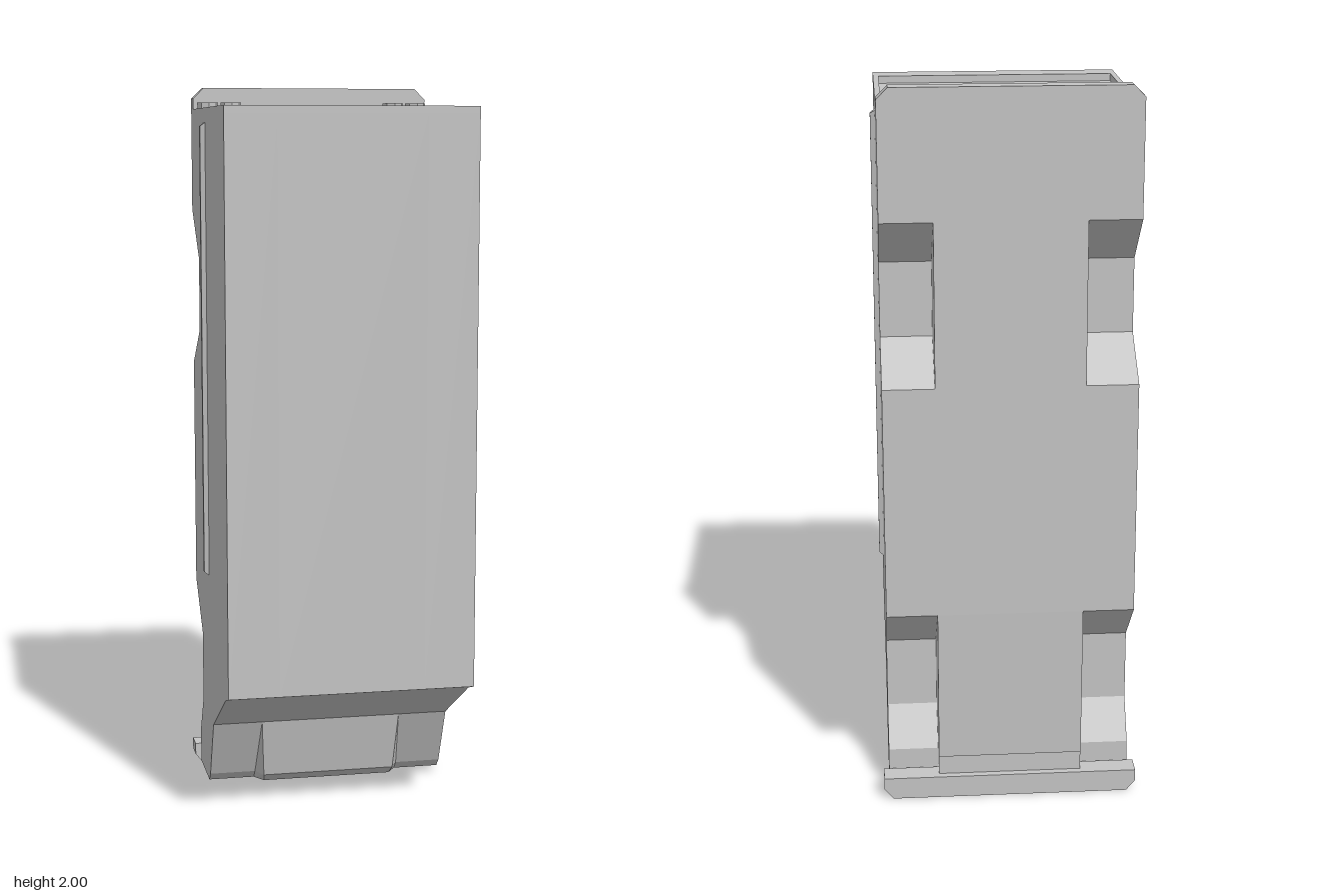
import * as THREE from 'three';
import { ConvexGeometry } from 'three/addons/geometries/ConvexGeometry.js';

const grey = new THREE.MeshStandardMaterial({ color: 0xc4c4c4 });
grey.name = 'plain grey';

export function createModel() {
  const root = new THREE.Group();
  root.name = 'ammoCanister';

  const add = (name, geometry, x = 0, y = 0, z = 0) => {
    const mesh = new THREE.Mesh(geometry, grey);
    mesh.name = name;
    mesh.position.set(x, y, z);
    root.add(mesh);
    return mesh;
  };
  const box = (name, x0, x1, y0, y1, z0, z1) =>
    add(name, new THREE.BoxGeometry(x1 - x0, y1 - y0, z1 - z0),
      (x0 + x1) / 2, (y0 + y1) / 2, (z0 + z1) / 2);
  const extrude = (points, depth, holes = []) => {
    const shape = new THREE.Shape(points.map(p => new THREE.Vector2(...p)));
    for (const h of holes) shape.holes.push(new THREE.Path(h.map(p => new THREE.Vector2(...p))));
    return new THREE.ExtrudeGeometry(shape, { depth, bevelEnabled: false });
  };
  // Side profile given as [z, y], swept from x0 to x1
  const slab = (name, profile, x0, x1) =>
    add(name, extrude(profile.map(([z, y]) => [-z, y]), x1 - x0).rotateY(Math.PI / 2), x0);

  // Body: solid spine between two notched sides
  const top = 1.92;
  const front = [[0.33, top], [0.33, 0.37], [0.275, 0.352], [0.026, 0.21],
    [-0.05, 0.04], [-0.074, 0.015], [-0.255, 0.015], [-0.255, 0.115]];
  slab('bodySpine', [...front, [-0.317, 0.12], [-0.33, 0.56], [-0.33, top]], -0.2, 0.2);
  const notched = [...front, [-0.19, 0.225], [-0.19, 0.425], [-0.33, 0.56],
    [-0.33, 1.21], [-0.19, 1.315], [-0.19, 1.52], [-0.33, 1.655], [-0.33, top]];
  slab('bodyLeft', notched, 0.2, 0.34);
  slab('bodyRight', notched, -0.34, -0.2);

  // Rim around the sunken top panel
  const rect = (x, y0, y1) => [[-x, y0], [x, y0], [x, y1], [-x, y1]];
  add('topRim', extrude(rect(0.34, -0.33, 0.33), 0.02, [rect(0.325, -0.255, 0.187)])
    .rotateX(-Math.PI / 2), 0, top);

  // Upright lip at the back of the top
  add('topLip', extrude([[-0.34, 1.94], [0.34, 1.94], [0.34, 1.97], [0.31, 2],
    [-0.31, 2], [-0.34, 1.97]], 0.047), 0, 0, -0.33);

  // Eight-sided studs
  for (const x of [-0.303, -0.237, 0.237, 0.303]) {
    add('stud', new THREE.CylinderGeometry(0.03, 0.03, 0.018, 8).toNonIndexed(), x, 1.949, -0.247)
      .geometry.computeVertexNormals();
  }

  // Tapered wedge on the front of the foot
  const wedge = [];
  for (const s of [-1, 1]) {
    for (const [x, y, z] of [[0.2, 0.21, 0.026], [0.19, 0.04, -0.01], [0.185, 0.015, -0.037],
      [0.21, 0.04, -0.05], [0.21, 0.015, -0.074]]) wedge.push(new THREE.Vector3(s * x, y, z));
  }
  add('footWedge', new ConvexGeometry(wedge));

  // Guide rails with bevelled edges and ends
  for (const s of [-1, 1]) {
    const rail = [];
    for (const [x, y0, y1, h] of [[0.339, 0.63, 1.9, 0.015], [0.353, 0.64, 1.89, 0.008]]) {
      for (const y of [y0, y1]) {
        for (const z of [-h, h]) rail.push(new THREE.Vector3(s * x, y, z - 0.05));
      }
    }
    add(s > 0 ? 'railLeft' : 'railRight', new ConvexGeometry(rail));
  }

  // Back foot plate hanging from a narrow neck
  add('footPlate', extrude([[-0.33, 0], [0.33, 0], [0.355, 0.03], [0.355, 0.063],
    [-0.355, 0.063], [-0.355, 0.03]], 0.06), 0, 0, -0.33);
  box('footNeck', -0.2, 0.2, 0.06, 0.125, -0.31, -0.28);

  // Contact panels on the underside
  box('undersidePanel', -0.16, 0.16, 0.01, 0.016, -0.225, -0.1);
  for (const s of [-1, 1]) {
    for (const z of [-0.2, -0.13]) {
      box('undersideContact', s * 0.255 - 0.045, s * 0.255 + 0.045, 0.01, 0.016, z - 0.02, z + 0.02);
    }
  }
  return root;
}
